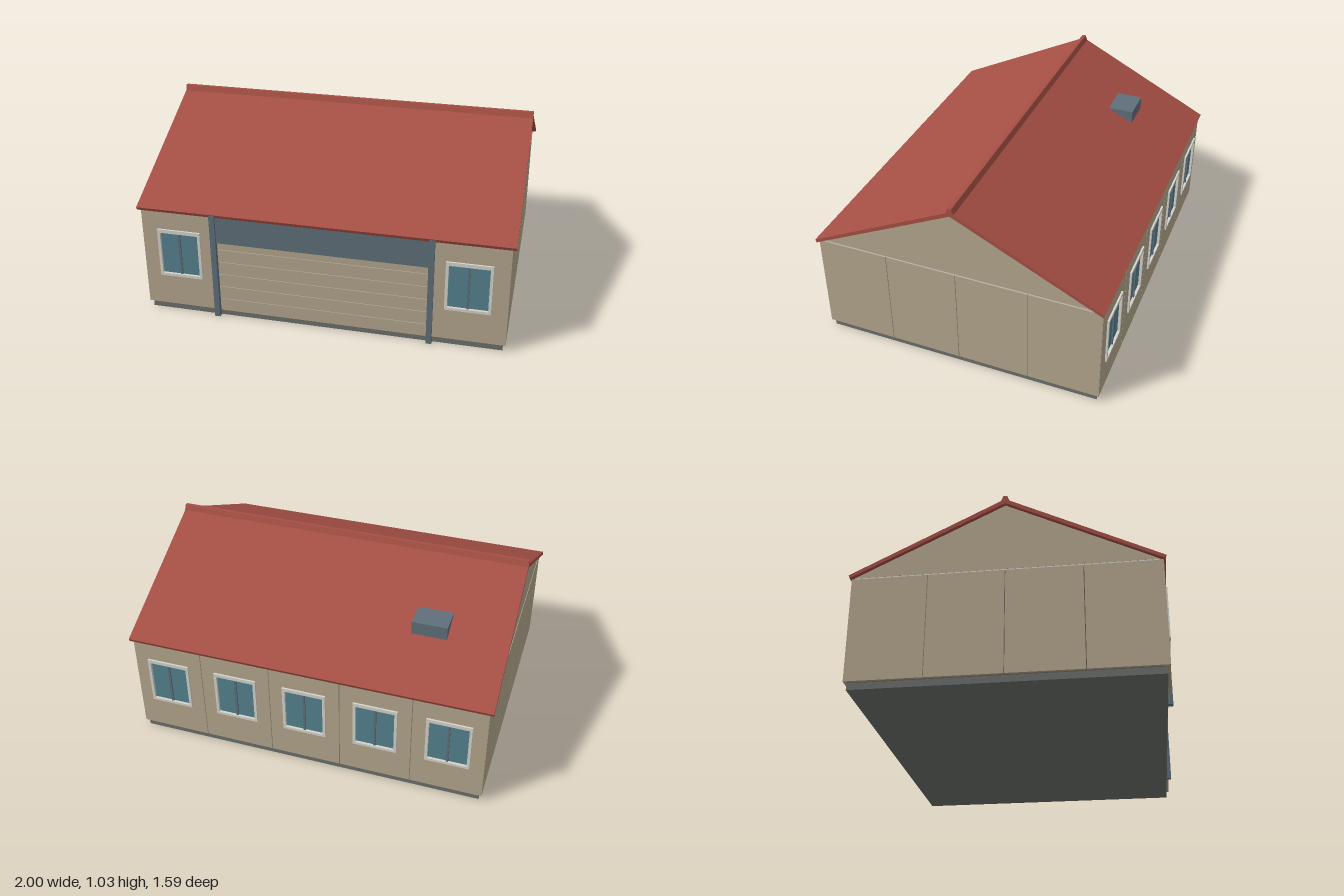
import * as THREE from 'three';

const mat = (color, side = THREE.FrontSide) => new THREE.MeshStandardMaterial({ color, flatShading: true, side });
const WALL = mat(0xb3a68d), ROOF = mat(0xa54f44), SLATE = mat(0x5f6f7a), GLASS = mat(0x55828f);
const TRIM = mat(0xd6d4cc), BASE = mat(0x6b6f6c), SEAM = mat(0x5c574c);

function add(parent, name, geometry, material, x = 0, y = 0, z = 0) {
  const mesh = new THREE.Mesh(geometry, material);
  mesh.name = name;
  mesh.position.set(x, y, z);
  parent.add(mesh);
  return mesh;
}

// Box given by its limits on each axis
function box(parent, name, material, [x0, x1], [y0, y1], [z0, z1]) {
  return add(parent, name, new THREE.BoxGeometry(x1 - x0, y1 - y0, z1 - z0), material,
    (x0 + x1) / 2, (y0 + y1) / 2, (z0 + z1) / 2);
}

// Profile of [z, y] points extruded along x, centred
function extrudeX(points, length) {
  const shape = new THREE.Shape(points.map(([z, y]) => new THREE.Vector2(-z, y)));
  const geo = new THREE.ExtrudeGeometry(shape, { depth: length, bevelEnabled: false });
  return geo.translate(0, 0, -length / 2).rotateY(Math.PI / 2);
}

// Rectangle with a rectangular opening, extruded along z
function rectWithHole([x0, x1], [y0, y1], [hx0, hx1], [hy0, hy1], depth) {
  const rect = (P, a, b, c, d) => new P([[a, c], [b, c], [b, d], [a, d]].map(p => new THREE.Vector2(...p)));
  const shape = rect(THREE.Shape, x0, x1, y0, y1);
  shape.holes.push(rect(THREE.Path, hx0, hx1, hy0, hy1));
  return new THREE.ExtrudeGeometry(shape, { depth, bevelEnabled: false });
}

// Wall panel with a two-pane window, facing +z, outer face at z = 0
function windowPanel(name, x0, x1, cx) {
  const panel = new THREE.Group();
  panel.name = name;
  add(panel, 'wallPanel', rectWithHole([x0, x1], [0.04, 0.61], [cx - 0.11, cx + 0.11], [0.23, 0.49], 0.025),
    WALL, 0, 0, -0.025);
  add(panel, 'windowFrame', rectWithHole([cx - 0.12, cx + 0.12], [0.22, 0.5],
    [cx - 0.105, cx + 0.105], [0.235, 0.48], 0.025), TRIM, 0, 0, -0.015);
  box(panel, 'windowGlass', GLASS, [cx - 0.108, cx + 0.108], [0.23, 0.49], [-0.015, -0.004]);
  box(panel, 'windowMullion', SLATE, [cx - 0.006, cx + 0.006], [0.235, 0.48], [-0.006, 0.004]);
  return panel;
}

export function createModel() {
  const house = new THREE.Group();
  house.name = 'house';

  // Foundation and the core behind the panels
  box(house, 'foundation', BASE, [-0.965, 0.965], [0, 0.036], [-0.77, 0.77]);
  box(house, 'wallCore', SEAM, [-0.965, 0.965], [0.036, 0.605], [-0.765, 0.755]);

  // Side walls: four panels each, with a pale band on top
  for (const s of [-1, 1]) {
    for (let i = 0; i < 4; i++) {
      const z0 = -0.785 + i * 0.3925;
      const p = box(house, 'sidePanel', WALL, [0.955, 0.98], [0.04, 0.605], [z0 + 0.002, z0 + 0.3905]);
      p.position.x *= s;
    }
    const band = box(house, 'sideBand', TRIM, [0.955, 0.977], [0.605, 0.62], [-0.77, 0.77]);
    band.position.x *= s;
  }

  // Gable walls under the roof
  add(house, 'gables', extrudeX([[0.77, 0.612], [0, 0.997], [-0.77, 0.612]], 1.956), WALL);

  // Back wall: five window panels
  const back = new THREE.Group();
  back.name = 'backWall';
  for (let i = -2; i <= 2; i++) {
    back.add(windowPanel('backPanel', i * 0.392 - 0.194, i * 0.392 + 0.194, i * 0.392));
  }
  back.rotation.y = Math.PI;
  back.position.z = -0.785;
  house.add(back);

  // Front wall: one window panel on either side of the door
  for (const s of [-1, 1]) {
    const panel = s > 0 ? windowPanel('frontPanel', 0.59, 0.98, 0.775) : windowPanel('frontPanel', -0.98, -0.59, -0.775);
    panel.position.z = 0.785;
    house.add(panel);
    box(house, 'doorPost', SLATE, s > 0 ? [0.567, 0.597] : [-0.597, -0.567], [0, 0.615], [0.75, 0.797]);
  }

  // Wide sectional door with its header
  box(house, 'doorHeader', SLATE, [-0.57, 0.57], [0.45, 0.617], [0.75, 0.785]);
  for (let i = 0; i < 6; i++) {
    const y = 0.03 + i * 0.0755;
    const top = i === 5 ? 0.45 : y + 0.0725;
    box(house, 'doorSlat', WALL, [-0.567, 0.567], [y, top], [0.75, 0.774]);
  }

  // Roof slopes and ridge cap
  add(house, 'roof', extrudeX([[0.797, 0.62], [0, 1.015], [-0.797, 0.62], [-0.79, 0.603], [0, 0.99], [0.79, 0.603]], 2), ROOF);
  add(house, 'ridgeCap', extrudeX([[0.024, 1.0], [0.01, 1.034], [-0.01, 1.034], [-0.024, 1.0]], 2), ROOF);

  // Vent box on the back slope
  box(house, 'roofVent', SLATE, [-0.68, -0.49], [0.765, 0.85], [-0.48, -0.335]);

  return house;
}
